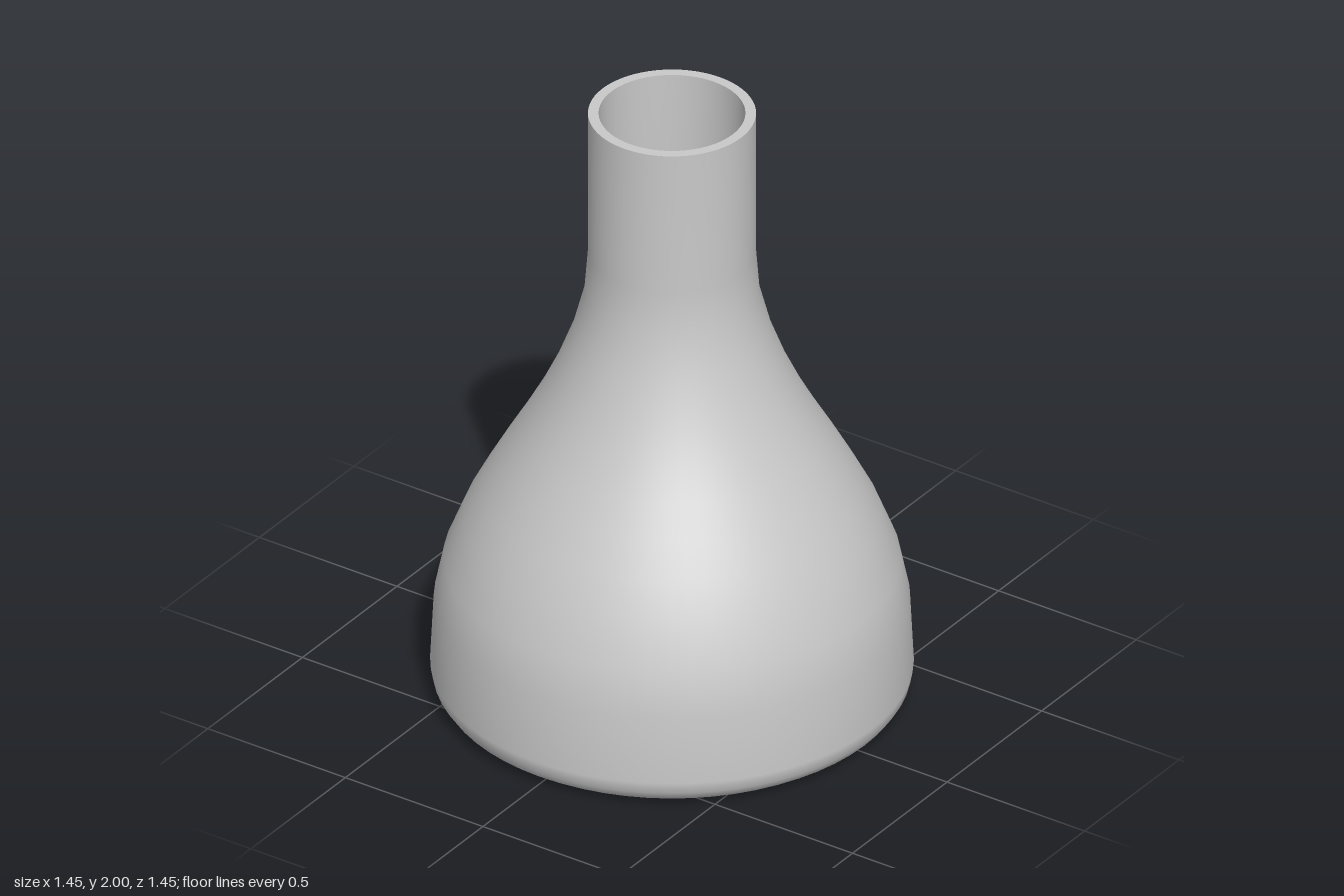
import * as THREE from 'three';

const SEGMENTS = 64;
const WALL = 0.032;

// Outer silhouette as [radius, height], from the foot to the rim
const OUTER = [
  [0.64, 0], [0.672, 0.006], [0.7, 0.025], [0.718, 0.052], [0.725, 0.09],
  [0.714, 0.31], [0.685, 0.45], [0.625, 0.6], [0.57, 0.705], [0.514, 0.805],
  [0.455, 0.905], [0.4, 1.005], [0.35, 1.11], [0.3, 1.24], [0.263, 1.38],
  [0.252, 1.52], [0.252, 2],
];

export function createModel() {
  const flask = new THREE.Group();
  flask.name = 'flask';

  const grey = new THREE.MeshStandardMaterial({ color: 0xc8c8c8 });
  grey.name = 'light grey';

  // Each surface is its own lathe, so the edges between them stay sharp
  function turn(name, points) {
    const profile = points.map(([r, y]) => new THREE.Vector2(r, y));
    const mesh = new THREE.Mesh(new THREE.LatheGeometry(profile, SEGMENTS), grey);
    mesh.name = name;
    flask.add(mesh);
  }

  // Inner wall: the silhouette moved inwards, running from the rim down
  const inner = OUTER.slice(4)
    .map(([r, y]) => [r - WALL, y])
    .reverse();
  inner.push([0.64, WALL]);

  turn('base', [[0, 0], OUTER[0]]);
  turn('outerWall', OUTER);
  turn('rim', [[0.252, 2], [0.252 - WALL, 2]]);
  turn('innerWall', inner);
  turn('innerFloor', [[0.64, WALL], [0, WALL]]);

  return flask;
}
